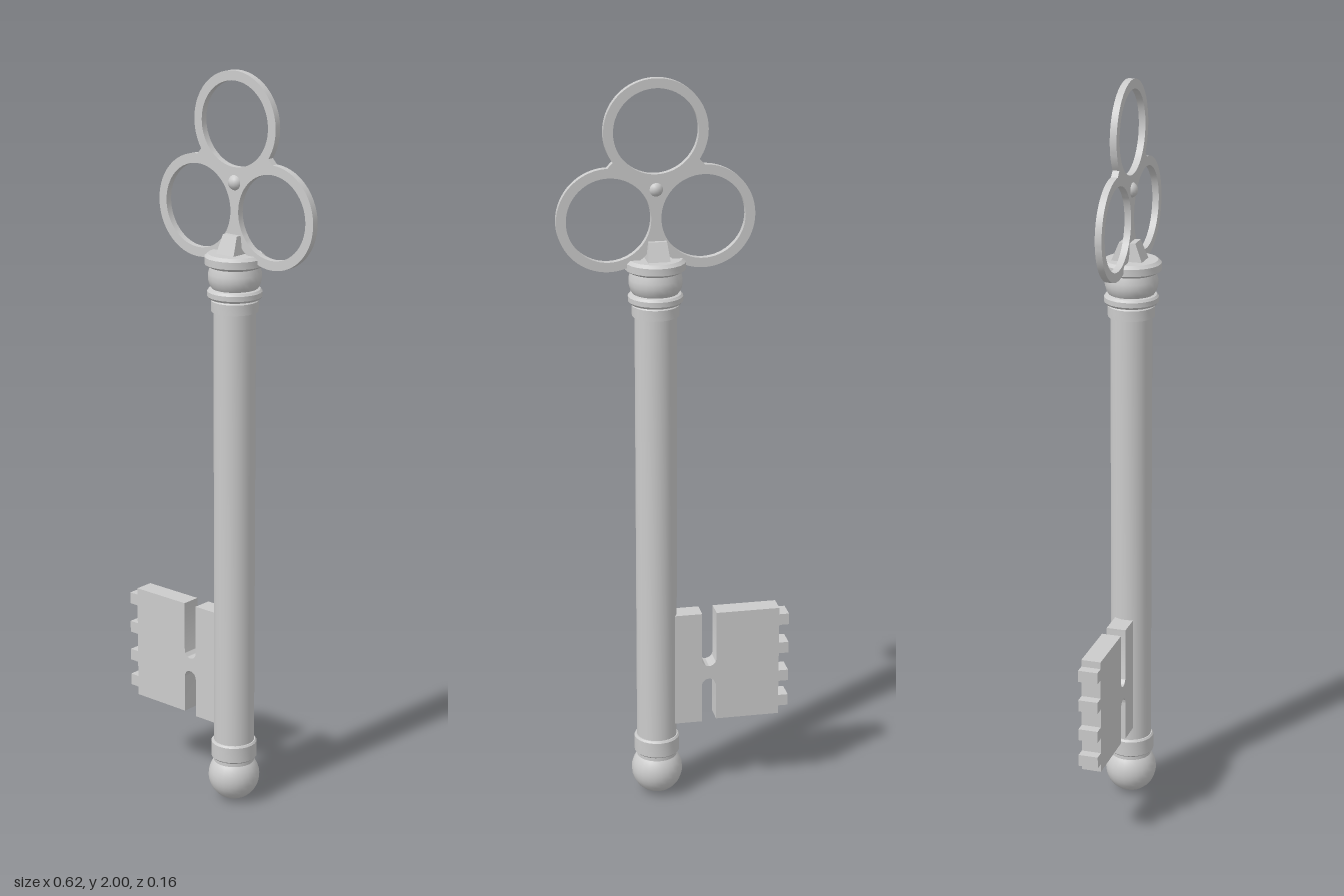
import * as THREE from 'three';
import { toCreasedNormals } from 'three/addons/utils/BufferGeometryUtils.js';

const X = 0.05; // axis of the shaft
const material = new THREE.MeshStandardMaterial({ color: 0xcccccc });

function part(name, geometry, x = 0, y = 0, z = 0) {
  const mesh = new THREE.Mesh(geometry, material);
  mesh.name = name;
  mesh.position.set(x, y, z);
  return mesh;
}

// Turned part with crisp profile edges
function turned(name, profile) {
  const points = profile.map(([r, y]) => new THREE.Vector2(r, y));
  return part(name, toCreasedNormals(new THREE.LatheGeometry(points, 24), 0.5), X);
}

// Flat part centred on the given z
function plate(name, shape, depth, z) {
  const geometry = new THREE.ExtrudeGeometry(shape, { depth, bevelEnabled: false, curveSegments: 32 });
  return part(name, toCreasedNormals(geometry, 0.5), 0, 0, z - depth / 2);
}

// Trefoil handle: three joined rings with small straight webs in the crooks
function bow() {
  const R = 0.135, r = 0.11, rad = Math.PI / 180;
  const rings = [
    { x: X, y: 1.865, from: -34, to: 214 },
    { x: X - 0.123, y: 1.64, from: 91, to: 331 },
    { x: X + 0.123, y: 1.64, from: 209, to: 449 },
  ];
  const shape = new THREE.Shape();
  for (const c of rings) {
    shape.absarc(c.x, c.y, R, c.from * rad, c.to * rad, false);
    const hole = new THREE.Path();
    hole.absarc(c.x, c.y, r, 0, Math.PI * 2, true);
    shape.holes.push(hole);
  }
  return plate('bow', shape, 0.018, -0.006);
}

// Toothed blade with two round-ended slots
function bit() {
  const shape = new THREE.Shape();
  const slotX = -0.09, w = 0.02, edge = -0.285, tip = -0.312;
  shape.moveTo(0.02, 0.212);
  shape.lineTo(0.02, 0.535);
  shape.lineTo(slotX + w, 0.535);
  shape.absarc(slotX, 0.398, w, 0, -Math.PI, true);
  shape.lineTo(slotX - w, 0.535);
  shape.lineTo(edge, 0.535);
  for (const y of [0.5, 0.415, 0.331, 0.256]) {
    shape.lineTo(edge, y + 0.016);
    shape.lineTo(tip, y + 0.016);
    shape.lineTo(tip, y - 0.016);
    shape.lineTo(edge, y - 0.016);
  }
  shape.lineTo(edge, 0.217);
  shape.lineTo(slotX - w, 0.217);
  shape.absarc(slotX, 0.32, w, Math.PI, 0, true);
  shape.lineTo(slotX + w, 0.212);
  return plate('bit', shape, 0.053, -0.005);
}

// Tapered block that grips the bow
function clasp() {
  const geometry = new THREE.BoxGeometry(0.06, 0.055, 0.088);
  const p = geometry.attributes.position;
  for (let i = 0; i < p.count; i++) {
    if (p.getY(i) > 0) p.setXYZ(i, p.getX(i) * 0.78, p.getY(i), p.getZ(i) * 0.5);
  }
  geometry.computeVertexNormals();
  return part('clasp', geometry, X - 0.002, 1.553, -0.004);
}

export function createModel() {
  const key = new THREE.Group();
  key.name = 'key';
  key.add(
    bow(),
    part('bowStud', new THREE.SphereGeometry(0.021, 16, 12), X, 1.715, -0.004),
    clasp(),
    turned('collar', [
      [0, 1.38], [0.062, 1.38], [0.062, 1.408], [0.058, 1.412], [0.067, 1.414],
      [0.072, 1.42], [0.072, 1.433], [0.067, 1.439], [0.06, 1.441], [0.066, 1.45],
      [0.07, 1.465], [0.07, 1.48], [0.065, 1.497], [0.07, 1.499], [0.079, 1.505],
      [0.079, 1.524], [0.07, 1.532], [0, 1.532],
    ]),
    turned('shaft', [[0, 0.1], [0.055, 0.1], [0.055, 1.4], [0, 1.4]]),
    turned('bottomRing', [
      [0, 0.124], [0.058, 0.124], [0.062, 0.128], [0.062, 0.17], [0.058, 0.175], [0, 0.175],
    ]),
    part('endBall', new THREE.SphereGeometry(0.07, 24, 16), X, 0.07, 0),
    bit(),
  );
  return key;
}
